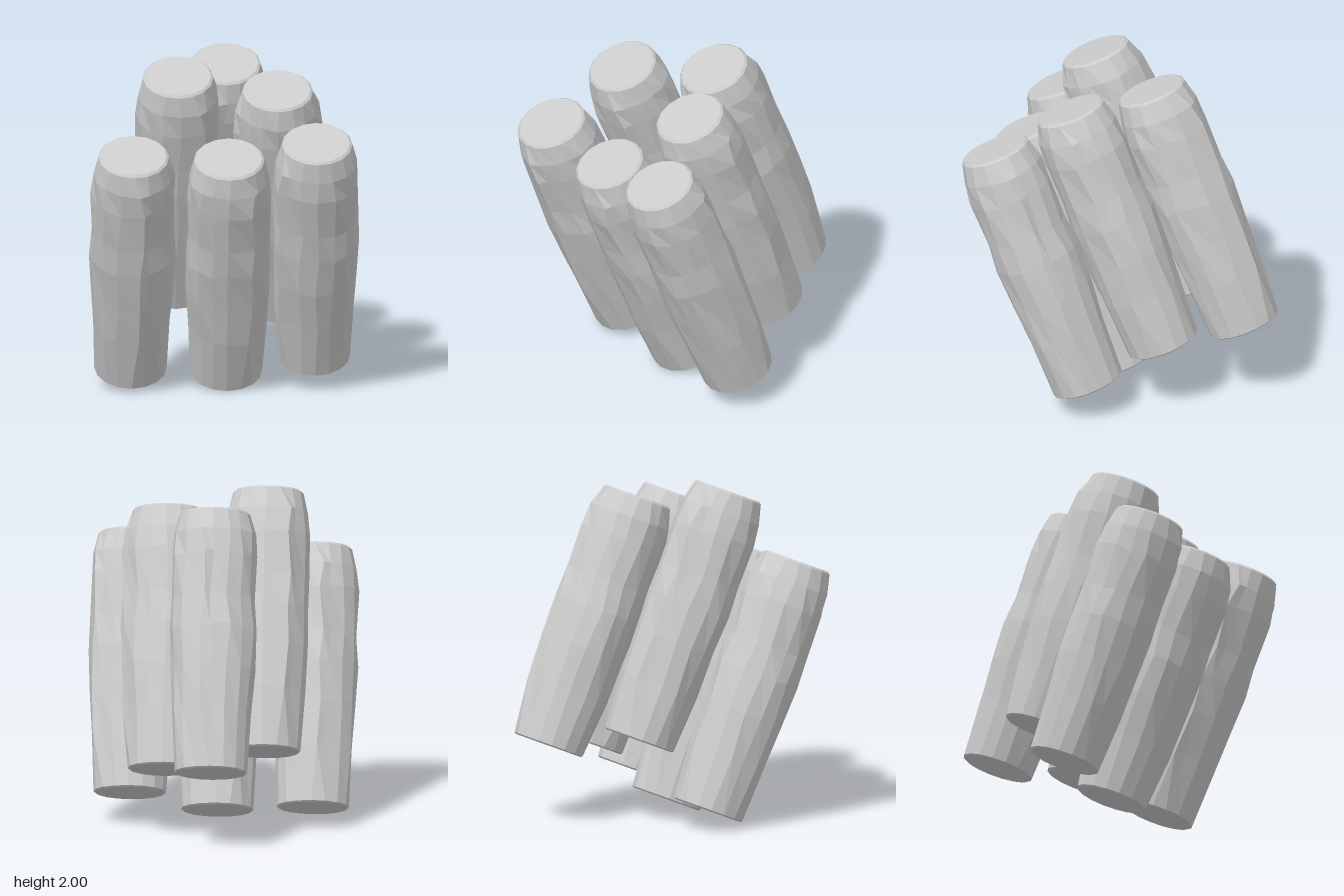
import * as THREE from 'three';

const SIDES = 16;
const LENGTH = 1.548;
const TILT = 0.384;

// Profile from the bottom centre to the top centre: [radius, distance below the top]
const PROFILE = [
  [0, LENGTH], [0.2, LENGTH], [0.212, 1.54], [0.23, 1.2], [0.243, 0.94], [0.25, 0.7],
  [0.242, 0.52], [0.246, 0.27], [0.236, 0.13], [0.206, 0.012], [0.192, 0], [0, 0],
];

// Repeatable value between -1 and 1
function hash(a, b) {
  const s = Math.sin(a * 12.9898 + b * 78.233 + 4.1) * 43758.5453;
  return (s - Math.floor(s)) * 2 - 1;
}

// Sixteen-sided log with uneven bark and two raised bark ridges
function logGeometry() {
  const points = PROFILE.map(([r, t]) => new THREE.Vector2(r, -t));
  const lathe = new THREE.LatheGeometry(points, SIDES);
  const pos = lathe.attributes.position;
  const rows = PROFILE.length;
  for (let k = 0; k < pos.count; k++) {
    const side = Math.floor(k / rows) % SIDES;
    const row = k % rows;
    if (row < 3 || row > 8) continue;
    const radius = PROFILE[row][0];
    let push = hash(side, row) * 0.008;
    let turn = hash(row, side + 40) * 0.06;
    if (side === 3 || side === 11) {
      push += 0.016;
      turn += 0.17;
    }
    const angle = (side / SIDES) * Math.PI * 2 + turn;
    pos.setX(k, Math.sin(angle) * (radius + push));
    pos.setZ(k, Math.cos(angle) * (radius + push));
    if (row > 2 && row < 8) pos.setY(k, pos.getY(k) + hash(side + 7, row) * 0.012);
  }
  const geometry = lathe.toNonIndexed();
  geometry.computeVertexNormals();
  return geometry;
}

export function createModel() {
  const group = new THREE.Group();
  group.name = 'logPile';
  const geometry = logGeometry();
  const material = new THREE.MeshStandardMaterial({ color: 0xcccccc, flatShading: true });

  // Centre of each log's top end, and its roll about its own axis in steps of one side
  const logs = [
    ['bottomLogRight', -0.54, 1.535, 0.66, 13],
    ['bottomLogMiddle', 0.018, 1.515, 0.66, 6],
    ['bottomLogLeft', 0.53, 1.61, 0.685, 2],
    ['middleLogRight', -0.27, 1.93, 0.345, 14],
    ['middleLogLeft', 0.313, 1.83, 0.295, 9],
    ['topLog', 0.022, 1.89, -0.103, 4],
  ];
  for (const [name, x, y, z, roll] of logs) {
    const log = new THREE.Mesh(geometry, material);
    log.name = name;
    log.position.set(x, y, z);
    log.rotation.set(TILT, (roll / SIDES) * Math.PI * 2, 0);
    group.add(log);
  }
  return group;
}
